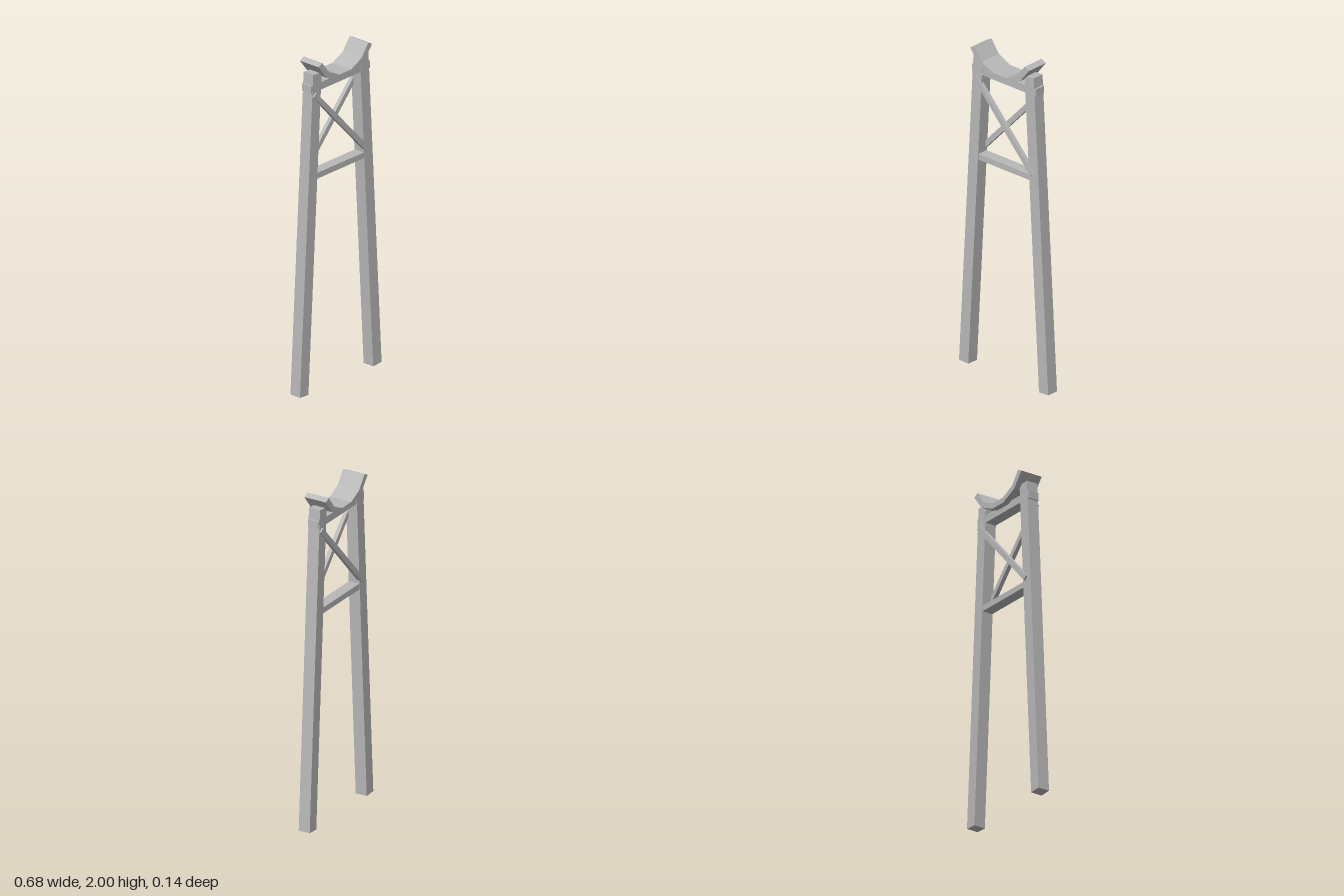
import * as THREE from 'three';

export function createModel() {
  const model = new THREE.Group();
  model.name = 'trestleSupport';
  const grey = new THREE.MeshStandardMaterial({ color: 0xb8b8b8 });
  grey.name = 'grey';

  const add = (name, geometry, x, y, z, tilt = 0) => {
    const mesh = new THREE.Mesh(geometry, grey);
    mesh.name = name;
    mesh.position.set(x, y, z);
    mesh.rotation.z = tilt;
    model.add(mesh);
    return mesh;
  };

  // Two square legs leaning inwards, and the crossed braces on front and back
  const legGeometry = new THREE.BoxGeometry(0.07, 1.927, 0.072);
  const braceGeometry = new THREE.BoxGeometry(0.03, 0.65, 0.024);
  for (const side of [1, -1]) {
    add(side > 0 ? 'leftLeg' : 'rightLeg', legGeometry, side * 0.248, 0.965, 0, side * 0.0568);
    add(side > 0 ? 'frontBrace' : 'backBrace', braceGeometry, 0, 1.57, side * 0.033,
      side * Math.atan2(0.224, 0.24));
  }

  // Horizontal members
  add('topBeam', new THREE.BoxGeometry(0.486, 0.045, 0.068), 0, 1.842, 0);
  add('lowerCrossbar', new THREE.BoxGeometry(0.42, 0.035, 0.066), 0, 1.305, 0);

  // Faceted cradle: the right half of the section, then its mirror
  const inner = [[0.048, 1.884], [0.133, 1.924], [0.19, 2.0]];
  const outer = [[0.222, 1.984], [0.156, 1.9], [0.053, 1.852]];
  const half = [...inner, ...outer];
  const mirrored = half.map(([x, y]) => [-x, y]).reverse();
  const section = new THREE.Shape([...half, ...mirrored].map(([x, y]) => new THREE.Vector2(x, y)));
  const cradle = new THREE.ExtrudeGeometry(section, { depth: 0.14, bevelEnabled: false });
  add('cradle', cradle, 0, 0, -0.07);

  return model;
}
